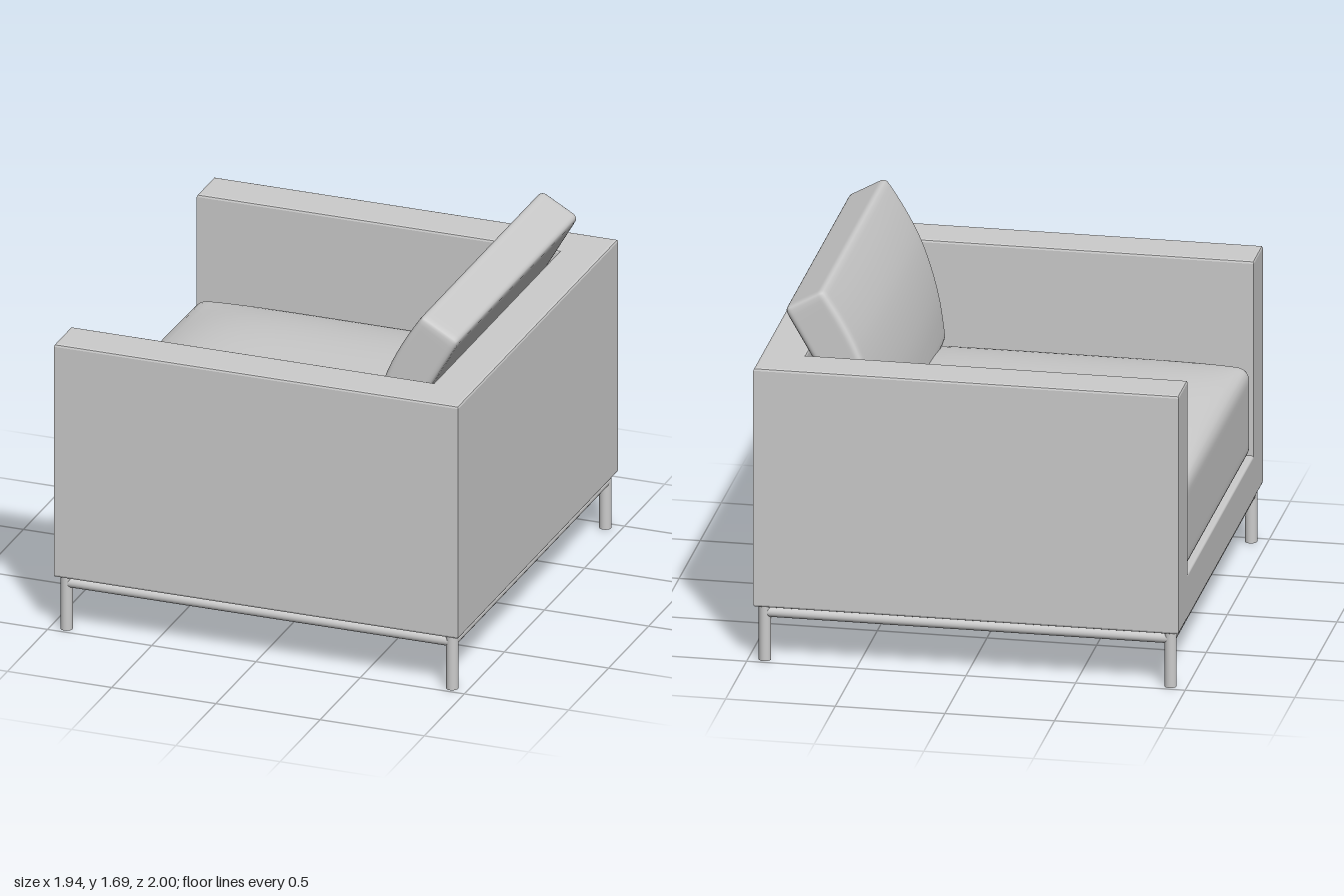
import * as THREE from 'three';
import { mergeVertices } from 'three/addons/utils/BufferGeometryUtils.js';
import { RoundedBoxGeometry } from 'three/addons/geometries/RoundedBoxGeometry.js';

const material = new THREE.MeshStandardMaterial({ color: 0xcccccc });

function add(parent, name, geometry, x = 0, y = 0, z = 0) {
  const mesh = new THREE.Mesh(geometry, material);
  mesh.name = name;
  mesh.position.set(x, y, z);
  parent.add(mesh);
  return mesh;
}

// Smooth rounded box, dense near its edges, reshaped by a rule on each vertex
function cushion(size, radius, reshape) {
  const raw = new THREE.BoxGeometry(2, 2, 2, 28, 20, 28);
  raw.deleteAttribute('normal');
  raw.deleteAttribute('uv');
  const geometry = mergeVertices(raw);
  const pos = geometry.attributes.position;
  const half = size.clone().multiplyScalar(0.5);
  const inner = half.clone().subScalar(radius);
  const p = new THREE.Vector3(), core = new THREE.Vector3();
  for (let i = 0; i < pos.count; i++) {
    p.fromBufferAttribute(pos, i);
    for (const a of ['x', 'y', 'z']) p[a] = Math.sin(p[a] * Math.PI / 2) * half[a];
    core.copy(p).clamp(inner.clone().negate(), inner);
    p.sub(core).setLength(radius).add(core);
    reshape(p, half);
    pos.setXYZ(i, p.x, p.y, p.z);
  }
  geometry.computeVertexNormals();
  return geometry;
}

// Arms and back: U-shaped plan, open towards -x, extruded upward
function shellGeometry() {
  const b = 0.012;
  const X = 0.97 - b, Z = 1 - b, inX = 0.77 + b, inZ = 0.785 + b;
  const plan = new THREE.Shape([
    [-X, -Z], [X, -Z], [X, Z], [-X, Z], [-X, inZ], [inX, inZ], [inX, -inZ], [-X, -inZ],
  ].map(([x, z]) => new THREE.Vector2(x, -z)));
  const geometry = new THREE.ExtrudeGeometry(plan, {
    depth: 1.14 - 2 * b, bevelThickness: b, bevelSize: b, bevelSegments: 2,
  });
  return geometry.rotateX(-Math.PI / 2).translate(0, 0.26 + b, 0);
}

// Seat cushion with a crowned top
function seatGeometry() {
  return cushion(new THREE.Vector3(1.72, 0.43, 1.56), 0.055, (p, half) => {
    const u = Math.abs(p.x / half.x), w = Math.abs(p.z / half.z);
    const lift = (p.y + half.y) / (2 * half.y);
    p.y += 0.1 * lift * (1 - u ** 5) * (1 - w ** 3);
  });
}

// Back cushion: blended between a curved front line and a rear line
function backCushionGeometry() {
  const line = (points) => new THREE.CatmullRomCurve3(
    points.map(([x, y]) => new THREE.Vector3(x, y, 0)));
  const front = line([[0.425, 0.94], [0.46, 1.17], [0.53, 1.4], [0.61, 1.56], [0.7, 1.7]]);
  const rear = line([[0.56, 0.92], [0.61, 1.1], [0.68, 1.25], [0.77, 1.41], [0.88, 1.6]]);
  return cushion(new THREE.Vector3(0.2, 0.76, 1.52), 0.028, (p, half) => {
    const s = (p.x / half.x + 1) / 2;
    const t = THREE.MathUtils.clamp((p.y / half.y + 1) / 2, 0, 1);
    const q = front.getPoint(t).lerp(rear.getPoint(t), s);
    const w = p.z / half.z;
    const bulge = 0.02 * (1 - s) * (1 - w * w) * (1 - t);
    p.set(q.x - bulge, q.y, p.z);
  });
}

export function createModel() {
  const model = new THREE.Group();
  model.name = 'armchair';

  // Upholstered body
  add(model, 'armsAndBack', shellGeometry());
  add(model, 'seatBase', new RoundedBoxGeometry(1.8, 0.213, 1.6, 2, 0.012), -0.07, 0.3665, 0);
  add(model, 'seatCushion', seatGeometry(), -0.1, 0.69, 0);
  add(model, 'backCushion', backCushionGeometry());

  // Tubular frame and legs
  const frame = new THREE.Group();
  frame.name = 'frame';
  model.add(frame);
  const legX = 0.925, legZ = 0.957;
  const leg = new THREE.CylinderGeometry(0.028, 0.028, 0.265, 20);
  const sideRail = new THREE.CylinderGeometry(0.025, 0.025, 2 * legX, 20).rotateZ(Math.PI / 2);
  const crossRail = new THREE.CylinderGeometry(0.025, 0.025, 2 * legZ, 20).rotateX(Math.PI / 2);
  for (const s of [-1, 1]) {
    for (const t of [-1, 1]) add(frame, 'leg', leg, s * legX, 0.1325, t * legZ);
    add(frame, 'sideRail', sideRail, 0, 0.23, s * legZ);
    add(frame, 'crossRail', crossRail, s * legX, 0.23, 0);
  }
  return model;
}
